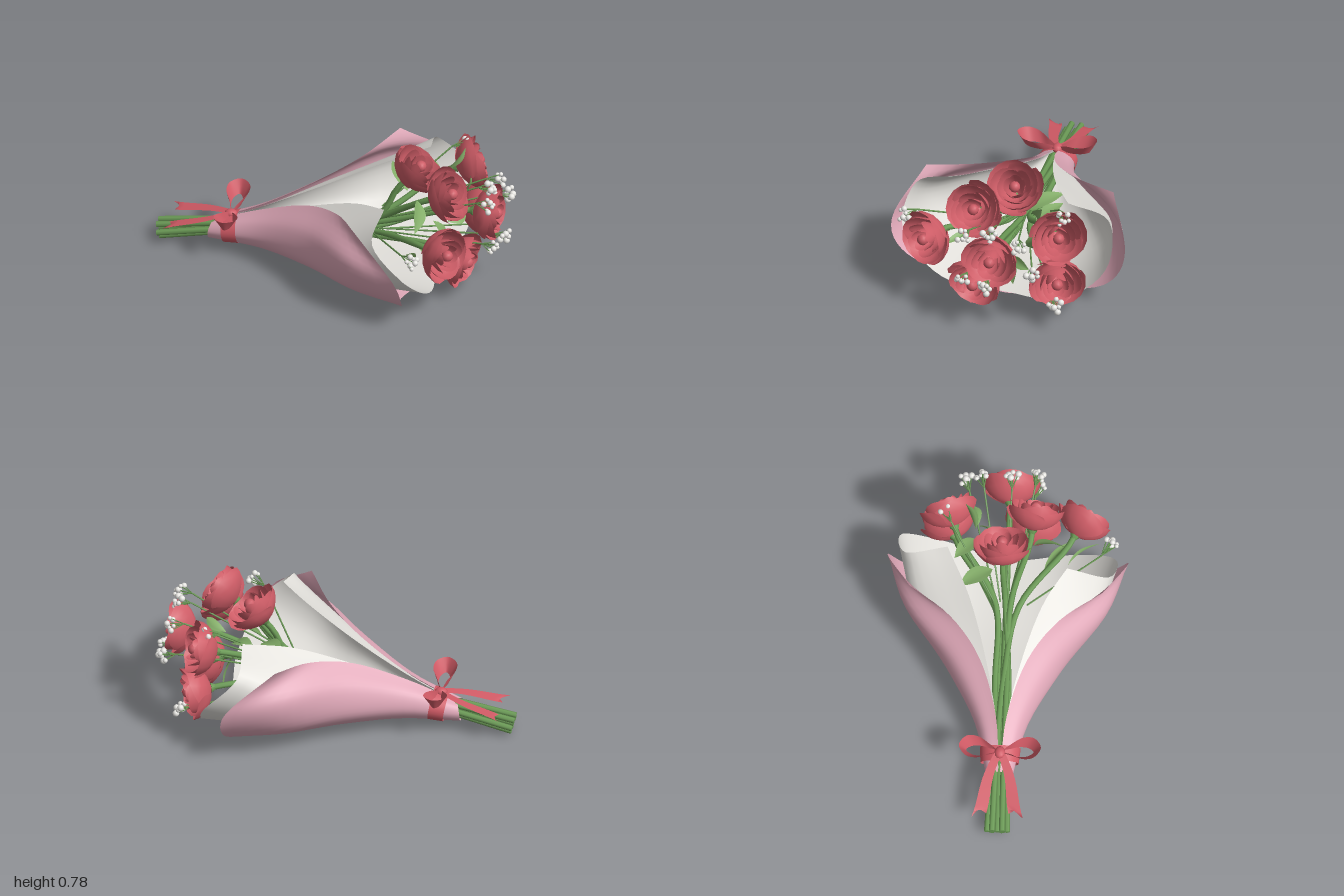
import * as THREE from 'three';
import { mergeGeometries } from 'three/addons/utils/BufferGeometryUtils.js';

const V = (x, y, z) => new THREE.Vector3(x, y, z);
const mat = (name, color) => {
  const m = new THREE.MeshStandardMaterial({ color, side: THREE.DoubleSide });
  m.name = name;
  return m;
};

// Bends a grid into a surface: fn(u, v) gives a point for u in -1..1, v in 0..1
function patch(fn, nu, nv) {
  const g = new THREE.PlaneGeometry(1, 1, nu, nv);
  const p = g.attributes.position, uv = g.attributes.uv;
  for (let i = 0; i < p.count; i++) {
    const q = fn(uv.getX(i) * 2 - 1, uv.getY(i));
    p.setXYZ(i, q.x, q.y, q.z);
  }
  g.computeVertexNormals();
  return g;
}

// Sheet through half cross-sections, mirrored in z; lean pulls the +z rim back
function sheet(rows, lean) {
  const spline = pts => new THREE.CatmullRomCurve3(pts, false, 'catmullrom');
  const curves = rows.map(r => {
    const half = r.map(p => V(...p));
    const other = half.slice(1).reverse().map(p => V(p.x, p.y, -p.z));
    return spline([...other, ...half]);
  });
  return patch((u, v) => {
    const p = spline(curves.map(c => c.getPoint((u + 1) / 2))).getPoint(v);
    if (u > 0) p.x -= lean * v ** 3 * Math.min(1, u * 2);
    return p;
  }, 48, 20);
}

function roseGeometry() {
  const parts = [];
  // [petals, radius, height, half angle, turn], from the outside in
  const layers = [[3, .158, .13, 1.25, 0], [3, .135, .15, 1.2, 1.05], [5, .095, .155, .8, .3],
    [5, .06, .158, .85, .9]];
  for (const [n, R, h, half, turn] of layers) {
    for (let i = 0; i < n; i++) {
      const a0 = turn + i * Math.PI * 2 / n;
      parts.push(patch((u, t) => {
        const a = a0 + u * half * (.65 + .35 * Math.sin(t * Math.PI * .8));
        const te = t * (1 - .2 * u * u);
        const r = R * (.1 + .9 * Math.sin(te * Math.PI / 2) ** .85) * (1 - .07 * u);
        return V(Math.cos(a) * r, h * te ** 1.35, Math.sin(a) * r);
      }, 6, 5));
    }
  }
  parts.push(new THREE.SphereGeometry(.032, 10, 8).translate(0, .13, 0));
  return mergeGeometries(parts);
}

export function createModel() {
  const root = new THREE.Group();
  root.name = 'bouquet';
  const pink = mat('pink paper', 0xdfa8b8), white = mat('white paper', 0xe2e0db);
  const red = mat('rose red', 0xcd5c66), ribbon = mat('ribbon red', 0xd05a65);
  const green = mat('stem green', 0x6b9a56), leafGreen = mat('leaf green', 0x84ae69);
  const pale = mat('filler flower white', 0xe9e8e4);
  const add = (name, geo, m, parent = root) => {
    const mesh = new THREE.Mesh(geo, m);
    mesh.name = name;
    parent.add(mesh);
    return mesh;
  };
  const group = name => {
    const g = new THREE.Group();
    g.name = name;
    root.add(g);
    return g;
  };

  // Paper wrapping, from the neck to the flared rim
  add('outerWrap', sheet([
    [[-.7, .065, 0], [-.7, .075, .05], [-.7, .12, .07], [-.69, .16, .05], [-.68, .17, .005]],
    [[-.4, .07, 0], [-.4, .08, .09], [-.4, .16, .145], [-.4, .25, .115], [-.4, .295, .03]],
    [[-.1, .06, 0], [-.1, .07, .18], [-.1, .19, .31], [-.1, .35, .285], [-.12, .43, .13]],
    [[.2, .03, 0], [.2, .045, .27], [.2, .18, .49], [.19, .39, .54], [.09, .515, .3]],
    [[.54, .01, 0], [.45, .02, .3], [.52, .16, .57], [.49, .36, .66], [.24, .57, .53]],
  ], 0), pink);
  add('innerWrap', sheet([
    [[-.66, .075, 0], [-.66, .083, .04], [-.66, .12, .06], [-.66, .15, .04], [-.66, .165, .005]],
    [[-.4, .08, 0], [-.4, .09, .08], [-.4, .16, .13], [-.4, .235, .1], [-.4, .28, .03]],
    [[-.1, .075, 0], [-.1, .09, .16], [-.1, .19, .285], [-.1, .34, .26], [-.1, .41, .1]],
    [[.22, .055, 0], [.22, .075, .25], [.22, .2, .455], [.2, .4, .48], [.2, .535, .2]],
    [[.6, .06, 0], [.67, .11, .34], [.63, .32, .585], [.45, .52, .56], [.46, .61, .33]],
  ], .1), white);

  // Roses: [centre, facing]
  const roses = [
    [[.87, .46, 0], [1, .02, 0]],
    [[.74, .21, .12], [.9, -.25, .2]],
    [[.7, .42, .4], [.85, .1, .45]],
    [[.69, .545, -.33], [.85, .25, -.35]],
    [[.72, .275, -.33], [.88, -.1, -.35]],
    [[.66, .625, .14], [.85, .45, .12]],
    [[.45, .645, -.03], [.6, .75, -.05]],
  ];
  const head = roseGeometry();
  const sepal = new THREE.ConeGeometry(.03, .05, 6).rotateX(Math.PI).translate(0, -.025, 0);
  const heads = group('roses'), stems = group('stems');
  roses.forEach(([c, d], i) => {
    const dir = V(...d).normalize(), base = V(...c).addScaledVector(dir, -.085);
    const g = new THREE.Group();
    g.name = 'rose';
    g.position.copy(base);
    g.quaternion.setFromUnitVectors(V(0, 1, 0), dir);
    heads.add(g);
    add('petals', head, red, g).rotation.y = i * 1.3;
    add('sepals', sepal, green, g);
    // Stem: one in the middle, six around it
    const a = i * Math.PI / 3, k = i ? 1 : 0;
    const dy = Math.sin(a) * k, dz = Math.cos(a) * k;
    const path = new THREE.CatmullRomCurve3([
      V(-.99 - dy * .01, .063 + dy * .04, dz * .055),
      V(-.6, .14 + dy * .033, dz * .042),
      V(-.15, .2 + dy * .035, dz * .03 + base.z * .05),
      V(.25, .28 + (base.y - .4) * .35, base.z * .2),
      base.clone().addScaledVector(dir, -.08), base]);
    add('stem', new THREE.TubeGeometry(path, 28, .017, 7), green, stems);
    const cap = add('stemEnd', new THREE.CircleGeometry(.017, 7), green, stems);
    cap.position.copy(path.getPoint(0));
    cap.rotation.y = -Math.PI / 2;
  });

  // Leaves: [base, tip, facing, half width]
  const leaves = group('leaves');
  [
    [[.39, .47, -.08], [.26, .53, -.26], [.2, 1, 0], .05],
    [[.55, .5, -.17], [.41, .57, -.29], [.2, 1, 0], .045],
    [[.55, .34, -.02], [.62, .13, -.06], [1, .2, 0], .04],
    [[.5, .57, .14], [.53, .47, .32], [.8, .6, 0], .05],
    [[.58, .58, -.18], [.68, .7, -.24], [1, 0, .4], .03],
    [[.48, .33, .33], [.58, .42, .5], [.9, 0, -.4], .02],
    [[.45, .33, .2], [.62, .32, .34], [.4, .5, 0], .022],
    [[.66, .42, -.17], [.72, .56, -.2], [1, 0, 0], .03],
    [[.62, .32, -.06], [.7, .3, -.17], [1, .3, 0], .03],
  ].forEach(([b, t, n, w]) => {
    const B = V(...b), T = V(...t), N = V(...n).normalize();
    const S = T.clone().sub(B).cross(N).normalize();
    add('leaf', patch((u, v) => {
      const s = Math.sin(Math.PI * v ** .85);
      return B.clone().lerp(T, v).addScaledVector(S, u * w * s)
        .addScaledVector(N, .02 * s + .01 * Math.abs(u) * s);
    }, 4, 8), leafGreen, leaves);
  });

  // Small filler flowers on thin stalks
  const filler = group('fillerFlowers');
  const bead = new THREE.SphereGeometry(.016, 10, 8);
  [[.9, .6, .15], [.88, .62, .01], [.89, .58, -.16], [.92, .43, -.25], [.93, .34, .15],
    [.96, .325, .01], [.57, .45, .57], [.8, .16, -.345], [.66, .65, -.35]].forEach((c, j) => {
    const C = V(...c);
    const start = V(.25, .28 + (C.y - .4) * .3, C.z * .2);
    const joint = C.clone().add(V(-.07, 0, -C.z * .1));
    const stalk = new THREE.CatmullRomCurve3([start, start.clone().lerp(joint, .6), joint]);
    add('stalk', new THREE.TubeGeometry(stalk, 10, .005, 5), green, filler);
    for (let i = 0; i < 7; i++) {
      const a = i * 2.4 + j, r = i ? .02 + .003 * i : 0;
      const p = C.clone().add(V(.025 - .014 * (i % 4), Math.sin(a) * r, Math.cos(a) * r));
      const bud = add('bud', bead, pale, filler);
      bud.position.copy(p);
      bud.scale.setScalar(.75 + .14 * ((i * 2 + j) % 4));
      add('twig', new THREE.TubeGeometry(new THREE.LineCurve3(joint, p), 1, .003, 4), green, filler);
    }
  });

  // Ribbon band, bow and tails
  const bow = group('ribbon');
  const band = add('band', new THREE.CylinderGeometry(1.04, .97, 1, 32, 1, true), ribbon, bow);
  band.scale.set(.083, .085, .108);
  band.position.set(-.575, .138, 0);
  band.rotation.z = -Math.PI / 2 + .15;
  const knot = add('knot', new THREE.SphereGeometry(.03, 12, 8), ribbon, bow);
  knot.position.set(-.585, .22, 0);
  knot.scale.set(1.2, .8, 1);
  for (const s of [1, -1]) {
    const loop = new THREE.CatmullRomCurve3([[-.585, .21, 0], [-.56, .235, .05], [-.535, .25, .11],
      [-.54, .26, .17], [-.58, .265, .205], [-.62, .26, .17], [-.625, .25, .11],
      [-.6, .235, .05], [-.585, .21, 0]].map(([x, y, z]) => V(x, y, s * z)));
    // The strip leans outwards, so the loop is wider at its upper edge
    add('bowLoop', patch((u, v) => {
      const p = loop.getPoint(v), k = Math.sin(Math.PI * v);
      return V(-.58 + (p.x + .58) * (1 + .38 * u), p.y + u * (.016 + .022 * k),
        p.z + s * u * .02 * k);
    }, 2, 40), ribbon, bow);
    add('tail', patch((u, v) => {
      const notch = v === 1 ? .04 * (1 - Math.abs(u)) : 0;
      const wave = .012 * Math.sin(v * Math.PI * 1.5);
      return V(-.585 - .345 * v + notch - s * u * .012 * v, .225 - .075 * v,
        s * (.005 + .108 * v + wave) + u * (.022 + .018 * v));
    }, 2, 12), ribbon, bow);
  }
  return root;
}
